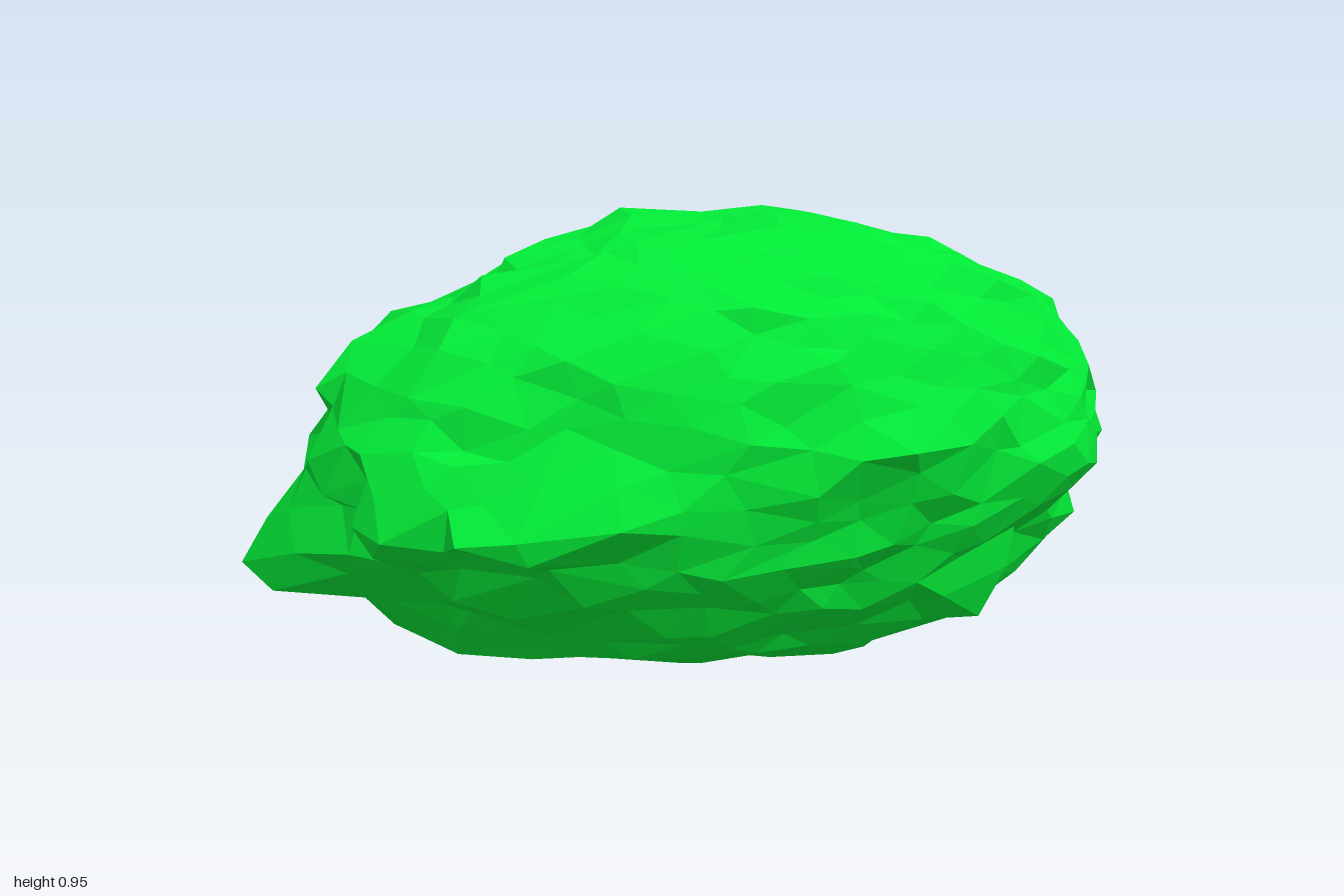
import * as THREE from 'three';
import { mergeVertices } from 'three/addons/utils/BufferGeometryUtils.js';

// Small seeded generator, -1..1
function seeded(seed) {
  return () => {
    seed = (seed * 16807) % 2147483647;
    return (seed / 2147483647) * 2 - 1;
  };
}

// Radii and centre of the underlying ellipsoid
const RADII = new THREE.Vector3(0.92, 0.449, 0.404);
const CENTRE = new THREE.Vector3(0.03, 0.48, -0.02);

// Larger lumps: tip position and angular width
const LUMPS = [
  // Right and left ends
  [-1.0, 0.32, -0.13, 0.2],
  [-0.96, 0.27, -0.08, 0.15],
  [-0.8, 0.73, -0.05, 0.2],
  [-0.87, 0.56, 0.08, 0.2],
  [-0.86, 0.4, 0.2, 0.2],
  [-0.7, 0.16, 0.0, 0.25],
  [0.99, 0.56, -0.01, 0.15],
  [0.98, 0.52, -0.16, 0.2],
  [0.95, 0.67, -0.06, 0.2],
  [0.97, 0.42, 0.06, 0.2],
  [0.85, 0.17, 0.04, 0.25],
  [0.83, 0.76, -0.05, 0.25],
  // Top and bottom
  [-0.18, 0.955, -0.14, 0.2],
  [0.13, 0.955, -0.08, 0.25],
  [0.58, 0.86, -0.05, 0.25],
  [0.3, 0.0, 0.07, 0.25],
  [0.68, 0.08, 0.06, 0.2],
  [0.53, 0.06, 0.18, 0.2],
  // Front and back
  [0.14, 0.5, 0.445, 0.14],
  [-0.66, 0.4, 0.33, 0.2],
  [0.73, 0.4, 0.3, 0.25],
  [-0.2, 0.18, -0.4, 0.25],
  [0.15, 0.27, -0.43, 0.25],
  [-0.3, 0.56, -0.44, 0.25],
  [0.2, 0.58, -0.445, 0.25],
  [0.58, 0.52, -0.385, 0.25],
  [0.66, 0.76, -0.3, 0.25],
].map(([x, y, z, width]) => {
  const tip = new THREE.Vector3(x, y, z);
  const dir = tip.clone().sub(CENTRE).divide(RADII);
  const height = dir.length() - 1;
  return { tip, dir: dir.normalize(), height, width };
});

// Index of the point lying closest to a direction
function nearest(points, dir) {
  let best = 0;
  points.forEach((p, i) => {
    if (p.dot(dir) > points[best].dot(dir)) best = i;
  });
  return best;
}

function foliageGeometry() {
  const sphere = new THREE.IcosahedronGeometry(1, 7);
  sphere.deleteAttribute('normal');
  sphere.deleteAttribute('uv');
  const geometry = mergeVertices(sphere, 1e-4);
  const pos = geometry.attributes.position;
  const rand = seeded(4271);
  const points = Array.from({ length: pos.count }, (_, i) =>
    new THREE.Vector3().fromBufferAttribute(pos, i).normalize());

  // Ragged leafy surface: lumps, then jitter along and across it
  points.forEach((point, i) => {
    let swell = 0;
    for (const { dir, height, width } of LUMPS) {
      const lift = height * Math.exp(-((point.angleTo(dir) / width) ** 2));
      swell = Math.max(swell, lift);
    }
    const jitter = new THREE.Vector3(rand(), rand(), rand()).multiplyScalar(0.05);
    const p = point.clone().add(jitter)
      .setLength(1 + swell + rand() * 0.035)
      .multiply(RADII).add(CENTRE);
    pos.setXYZ(i, Math.min(p.x, 0.99), Math.max(p.y, 0), p.z);
  });

  // Each lump ends in a sharp tip
  for (const { tip, dir } of LUMPS) {
    pos.setXYZ(nearest(points, dir), tip.x, tip.y, tip.z);
  }
  return geometry.toNonIndexed();
}

export function createModel() {
  const group = new THREE.Group();
  group.name = 'bush';
  const geometry = foliageGeometry();
  geometry.computeVertexNormals();
  const foliage = new THREE.Mesh(
    geometry,
    new THREE.MeshStandardMaterial({ color: 0x02e836, flatShading: true })
  );
  foliage.name = 'foliage';
  group.add(foliage);
  return group;
}
